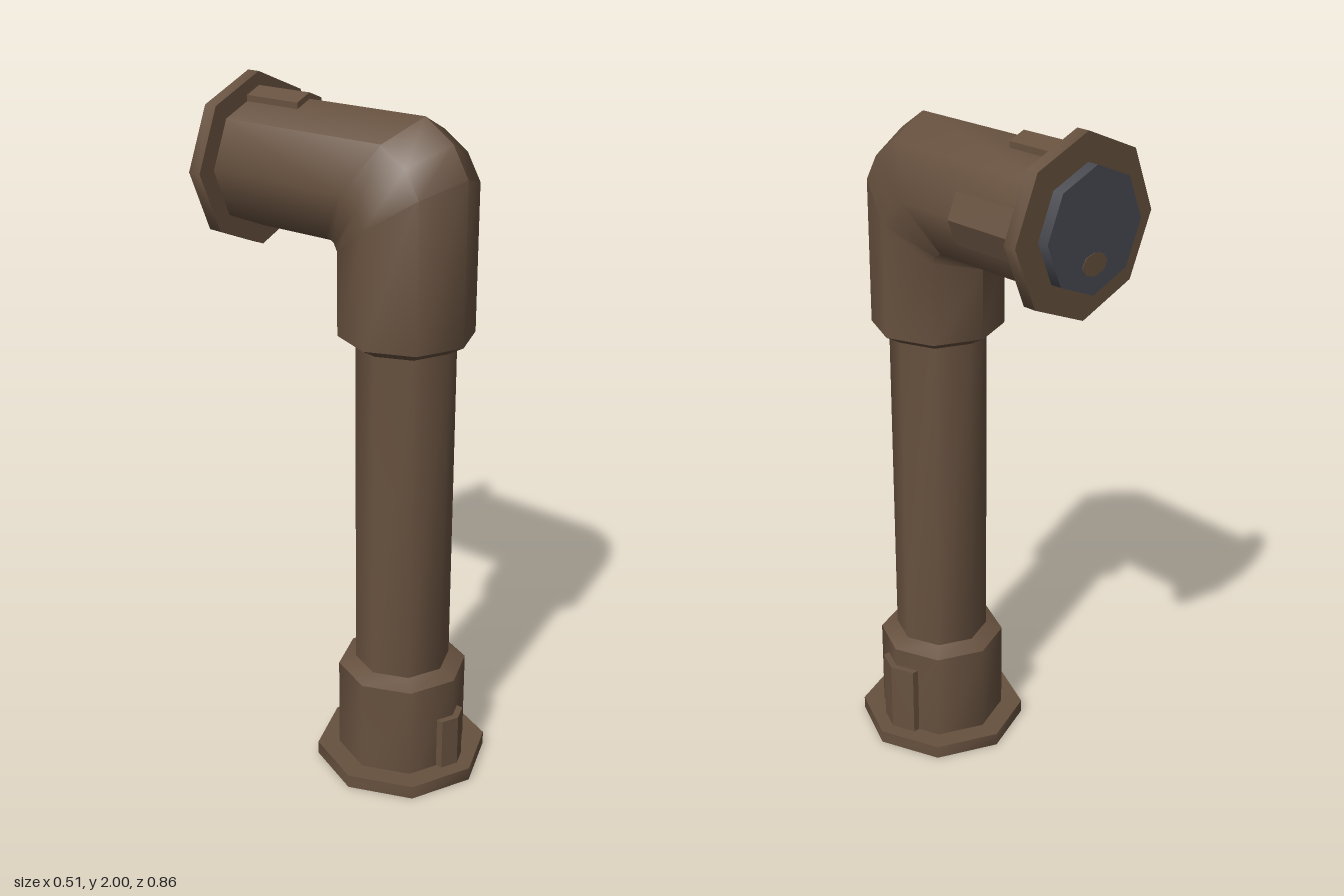
import * as THREE from 'three';
import { toCreasedNormals } from 'three/addons/utils/BufferGeometryUtils.js';

const SIDES = 8;
const CREASE = 0.87; // keeps octagon sides smooth, sharpens steps

// Skin a list of octagonal rings; each ring is given by its front and back [z, y] points and its x radius
function loft(rings) {
  const pos = [], index = [];
  for (const { front, back, r } of rings) {
    for (let i = 0; i < SIDES; i++) {
      const a = (i / SIDES) * Math.PI * 2, t = (1 + Math.cos(a)) / 2;
      pos.push(r * Math.sin(a), back[1] + (front[1] - back[1]) * t, back[0] + (front[0] - back[0]) * t);
    }
  }
  for (let k = 0; k < rings.length - 1; k++) {
    for (let i = 0; i < SIDES; i++) {
      const j = (i + 1) % SIDES, a = k * SIDES + i, b = k * SIDES + j;
      index.push(a, b, b + SIDES, a, b + SIDES, a + SIDES);
    }
  }
  const geo = new THREE.BufferGeometry();
  geo.setAttribute('position', new THREE.Float32BufferAttribute(pos, 3));
  geo.setIndex(index);
  return toCreasedNormals(geo, CREASE);
}

const ring = (r, y, z = 0) => ({ front: [z + r, y], back: [z - r, y], r });

// Flat octagonal ring around the y axis
const washer = (outer, inner, y0, y1) =>
  loft([ring(outer, y0), ring(outer, y1), ring(inner, y1), ring(inner, y0), ring(outer, y0)]);

// Raised plate folded over a corner of the pipe, pointing to +z
function plate(halfWidth, peak, top, length) {
  const drop = halfWidth * 0.41, thick = 0.035;
  const s = new THREE.Shape([
    new THREE.Vector2(-halfWidth, peak - drop), new THREE.Vector2(-halfWidth, peak - drop - thick),
    new THREE.Vector2(0, peak - thick), new THREE.Vector2(halfWidth, peak - drop - thick),
    new THREE.Vector2(halfWidth, peak - drop), new THREE.Vector2(0, peak),
  ]);
  return new THREE.ExtrudeGeometry(s, { depth: length, bevelEnabled: false })
    .rotateX(Math.PI / 2).translate(0, top, 0);
}

export function createModel() {
  const model = new THREE.Group();
  model.name = 'elbowPipe';
  const brown = new THREE.MeshStandardMaterial({ color: 0x67513f, side: THREE.DoubleSide });
  brown.name = 'brownMetal';
  const grey = new THREE.MeshStandardMaterial({ color: 0x494b52 });
  grey.name = 'darkGrey';

  const add = (parent, name, geo, mat = brown) => {
    const mesh = new THREE.Mesh(geo, mat);
    mesh.name = name;
    parent.add(mesh);
    return mesh;
  };

  // Upright part, around its own axis
  const upright = new THREE.Group();
  upright.name = 'upright';
  upright.position.z = 0.17;
  model.add(upright);
  add(upright, 'baseFlange', washer(0.255, 0.19, 0, 0.04));
  add(upright, 'baseCollar', loft([ring(0.19, 0), ring(0.19, 0.318), ring(0.14, 0.34)]));
  add(upright, 'shaft', loft([ring(0.14, 0.34), ring(0.14, 1.322)]));
  add(upright, 'baseFrontPlate', plate(0.05, 0.21, 0.2, 0.16));
  add(upright, 'baseSidePlate', plate(0.07, 0.21, 0.26, 0.22).rotateY(Math.PI / 2));

  // Elbow, turning from up to back
  add(model, 'elbow', loft([
    ring(0.14, 1.322, 0.17),
    ring(0.19, 1.35, 0.17),
    { front: [0.36, 1.8], back: [-0.02, 1.55], r: 0.19 },
    { front: [0.31, 1.885], back: [-0.024, 1.56], r: 0.19 },
    { front: [0.22, 1.945], back: [-0.035, 1.565], r: 0.19 },
    { front: [-0.355, 1.945], back: [-0.355, 1.565], r: 0.19 },
  ]));

  // Outlet, built upright and laid back so its y axis points to the rear
  const outlet = new THREE.Group();
  outlet.name = 'outlet';
  outlet.position.y = 1.755;
  outlet.rotation.x = -Math.PI / 2;
  model.add(outlet);
  add(outlet, 'outletFlange', washer(0.245, 0.165, 0.355, 0.395));
  add(outlet, 'outletPlug', new THREE.CylinderGeometry(0.168, 0.168, 0.068, SIDES).translate(0, 0.394, 0), grey);
  add(outlet, 'outletTopPlate', plate(0.05, 0.207, 0.355, 0.185));
  add(outlet, 'outletSidePlate', plate(0.07, 0.207, 0.355, 0.245).rotateY(Math.PI / 2));

  // Small brown mark low on the plug
  add(outlet, 'plugMark', new THREE.CylinderGeometry(0.045, 0.045, 0.003, SIDES)
    .scale(1, 1, 0.7).translate(0, 0.4285, -0.085));

  return model;
}
